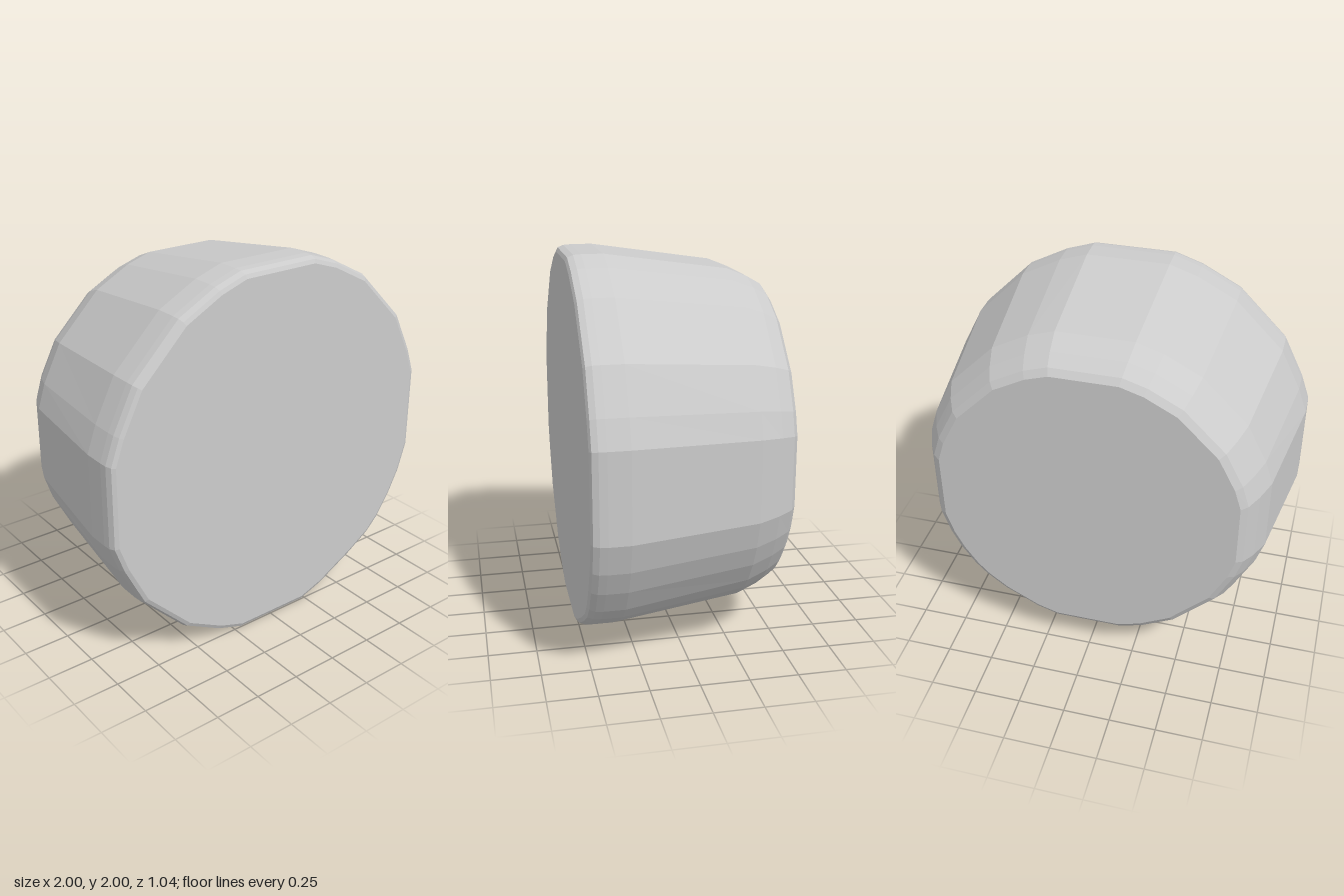
import * as THREE from 'three';

// Outline quadrant, from the flat on the side round to the flat on top
const QUADRANT = [[1, 0.22], [0.95, 0.36], [0.84, 0.58], [0.58, 0.84], [0.37, 0.95], [0.22, 1]];
// Fuller lower quadrant on the model's left
const FULL_QUADRANT = [[1, 0.24], [0.95, 0.4], [0.885, 0.53], [0.8, 0.66], [0.72, 0.74], [0.58, 0.83], [0.36, 0.95], [0.22, 1]];

// Rings from front to back: [z, scale]
const RINGS = [
  [0.52, 0.965], [0.51, 0.985], [0.48, 0.997], [0.44, 1], [0.33, 1],
  [-0.31, 0.912], [-0.42, 0.868], [-0.495, 0.825], [-0.52, 0.79],
];

function outline() {
  const q = QUADRANT, rev = [...QUADRANT].reverse();
  return [
    ...q,
    ...rev.map(([x, y]) => [-x, y]),
    ...q.map(([x, y]) => [-x, -y]),
    ...[...FULL_QUADRANT].reverse().map(([x, y]) => [x, -y]),
  ];
}

function bodyGeometry() {
  const loop = outline();
  const n = loop.length;
  const positions = [];
  const index = [];
  RINGS.forEach(([z, s]) => {
    // The back becomes rounder than the front
    const round = THREE.MathUtils.clamp((0.33 - z) / 0.85, 0, 1) * 0.7;
    loop.forEach(([x, y]) => {
      const k = s * THREE.MathUtils.lerp(1, 1.015 / Math.hypot(x, y), round);
      positions.push(x * k, 1 + y * k, z);
    });
  });
  // Side facets
  for (let r = 0; r < RINGS.length - 1; r++) {
    for (let i = 0; i < n; i++) {
      const j = (i + 1) % n;
      const a = r * n + i, b = r * n + j, c = a + n, d = b + n;
      index.push(a, c, b, b, c, d);
    }
  }
  // Flat front and back caps
  const front = positions.length / 3, back = front + 1, last = (RINGS.length - 1) * n;
  positions.push(0, 1, RINGS[0][0], 0, 1, RINGS[RINGS.length - 1][0]);
  for (let i = 0; i < n; i++) {
    const j = (i + 1) % n;
    index.push(front, i, j, back, last + j, last + i);
  }
  const indexed = new THREE.BufferGeometry();
  indexed.setAttribute('position', new THREE.Float32BufferAttribute(positions, 3));
  indexed.setIndex(index);
  const geometry = indexed.toNonIndexed();
  geometry.computeVertexNormals();
  return geometry;
}

export function createModel() {
  const group = new THREE.Group();
  group.name = 'taperedDrum';
  const material = new THREE.MeshStandardMaterial({ color: 0xcccccc, flatShading: true });
  const body = new THREE.Mesh(bodyGeometry(), material);
  body.name = 'facetedBody';
  group.add(body);
  return group;
}
